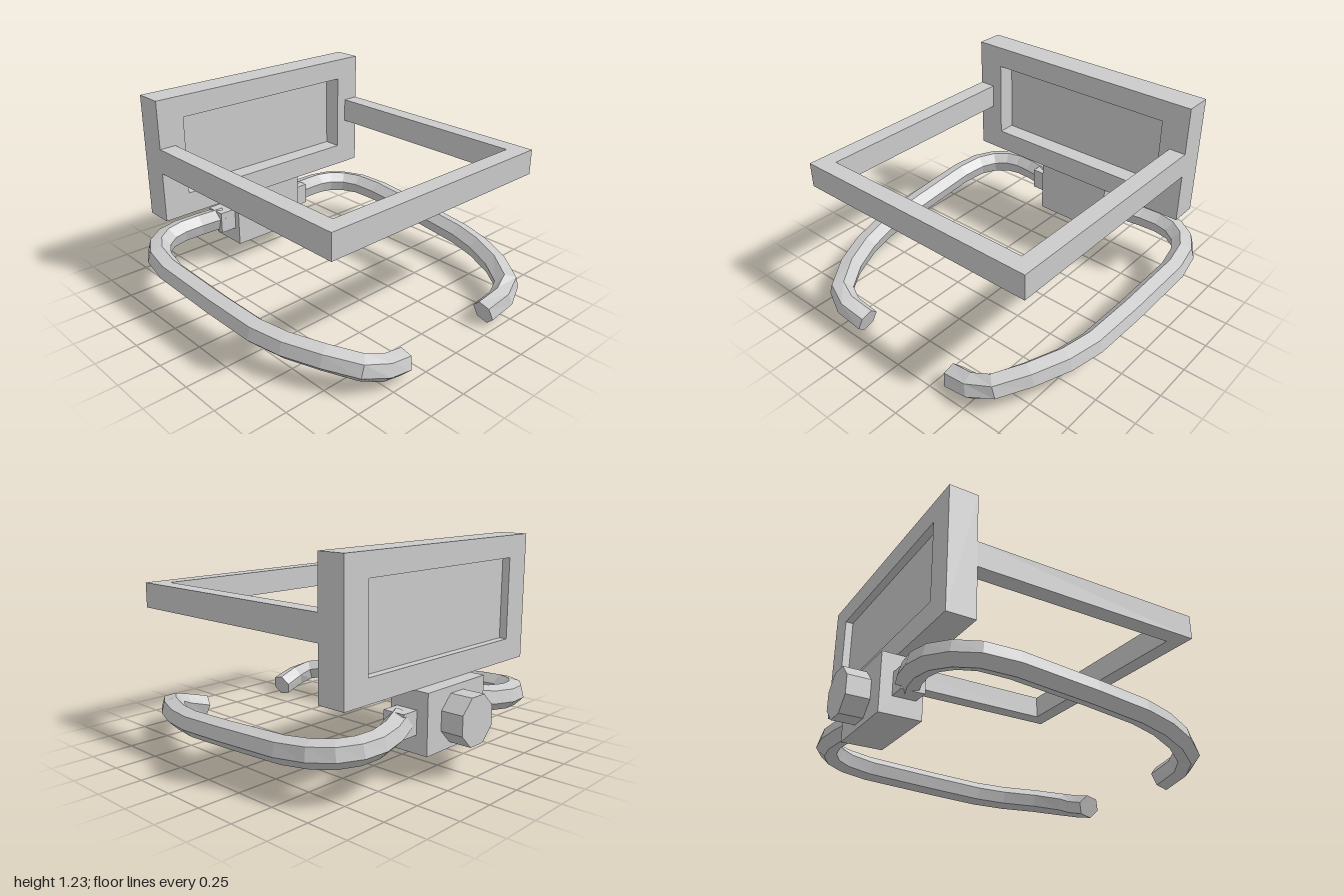
import * as THREE from 'three';

const mat = new THREE.MeshStandardMaterial({ color: 0xcccccc, flatShading: true });

function add(group, name, geometry, x = 0, y = 0, z = 0) {
  const mesh = new THREE.Mesh(geometry, mat);
  mesh.name = name;
  mesh.position.set(x, y, z);
  group.add(mesh);
  return mesh;
}

// Box given by its min and max corners
function box(group, name, [x0, y0, z0], [x1, y1, z1]) {
  return add(group, name, new THREE.BoxGeometry(x1 - x0, y1 - y0, z1 - z0),
    (x0 + x1) / 2, (y0 + y1) / 2, (z0 + z1) / 2);
}

function rectPoints(x0, y0, x1, y1) {
  return [[x0, y0], [x1, y0], [x1, y1], [x0, y1]].map(p => new THREE.Vector2(...p));
}

// Hexagonal bar swept along a path, kept upright with a constant roll
function sweepHex(points, radius, roll) {
  const n = 6, pos = [], idx = [];
  const worldUp = new THREE.Vector3(0, 1, 0);
  const last = points.length - 1;
  points.forEach((p, i) => {
    const before = points[Math.max(i - 1, 0)], after = points[Math.min(i + 1, last)];
    const t = after.clone().sub(before).normalize();
    const out = worldUp.clone().cross(t).normalize();
    const up = t.clone().cross(out);
    for (let k = 0; k < n; k++) {
      const a = roll + k * Math.PI * 2 / n;
      const v = p.clone().addScaledVector(up, radius * Math.cos(a)).addScaledVector(out, radius * Math.sin(a));
      pos.push(v.x, v.y, v.z);
    }
  });
  for (let i = 0; i < last; i++) {
    for (let k = 0; k < n; k++) {
      const a = i * n + k, b = i * n + (k + 1) % n;
      idx.push(a, a + n, b, b, a + n, b + n);
    }
  }
  for (let k = 1; k < n - 1; k++) {
    idx.push(0, k, k + 1);
    idx.push(last * n, last * n + k + 1, last * n + k);
  }
  const g = new THREE.BufferGeometry();
  g.setAttribute('position', new THREE.Float32BufferAttribute(pos, 3));
  g.setIndex(idx);
  const flat = g.toNonIndexed();
  flat.computeVertexNormals();
  return flat;
}

export function createModel() {
  const model = new THREE.Group();
  model.name = 'clampHolder';

  // Upright panel: rectangular rim with a thin recessed pane
  const rim = new THREE.Shape(rectPoints(-0.785, 0.49, 0.785, 1.235));
  rim.holes.push(new THREE.Path(rectPoints(-0.615, 0.625, 0.615, 1.105).reverse()));
  add(model, 'panelRim', new THREE.ExtrudeGeometry(rim, { depth: 0.17, bevelEnabled: false }), 0, 0, -0.777);
  box(model, 'panelPane', [-0.615, 0.625, -0.73], [0.615, 1.105, -0.72]);

  // U-shaped loop reaching forward from the panel
  const loop = new THREE.Shape([
    [-0.785, 0.607], [-0.785, -0.845], [0.785, -0.845], [0.785, 0.607],
    [0.682, 0.607], [0.682, -0.742], [-0.682, -0.742], [-0.682, 0.607],
  ].map(p => new THREE.Vector2(...p)));
  const loopGeo = new THREE.ExtrudeGeometry(loop, { depth: 0.15, bevelEnabled: false });
  loopGeo.rotateX(-Math.PI / 2);
  add(model, 'frontLoop', loopGeo, 0, 0.796, 0);

  // Clamp block under the panel, with an octagonal knob behind
  box(model, 'clampBlock', [-0.253, 0.147, -0.865], [0.253, 0.49, -0.62]);
  const knob = new THREE.CylinderGeometry(0.146, 0.146, 0.14, 8);
  knob.rotateY(Math.PI / 8);
  knob.rotateX(Math.PI / 2);
  add(model, 'knob', knob, 0, 0.315, -0.93);

  // Curved gripping arms and their sockets
  const path = [
    [0.30, 0.325, -0.725], [0.45, 0.30, -0.78], [0.58, 0.287, -0.803], [0.69, 0.28, -0.787],
    [0.785, 0.272, -0.725], [0.85, 0.264, -0.62], [0.88, 0.25, -0.45], [0.868, 0.22, 0],
    [0.847, 0.197, 0.33], [0.802, 0.185, 0.52], [0.715, 0.172, 0.72], [0.61, 0.145, 0.88],
    [0.50, 0.112, 0.925], [0.348, 0.071, 0.912],
  ];
  for (const s of [1, -1]) {
    const side = s > 0 ? 'left' : 'right';
    const points = path.map(([x, y, z]) => new THREE.Vector3(s * x, y, z));
    add(model, side + 'Arm', sweepHex(points, 0.0745, s * Math.PI / 4));
    const socket = new THREE.BoxGeometry(0.11, 0.135, 0.135);
    add(model, side + 'ArmSocket', socket, s * 0.305, 0.318, -0.727);
  }
  return model;
}
